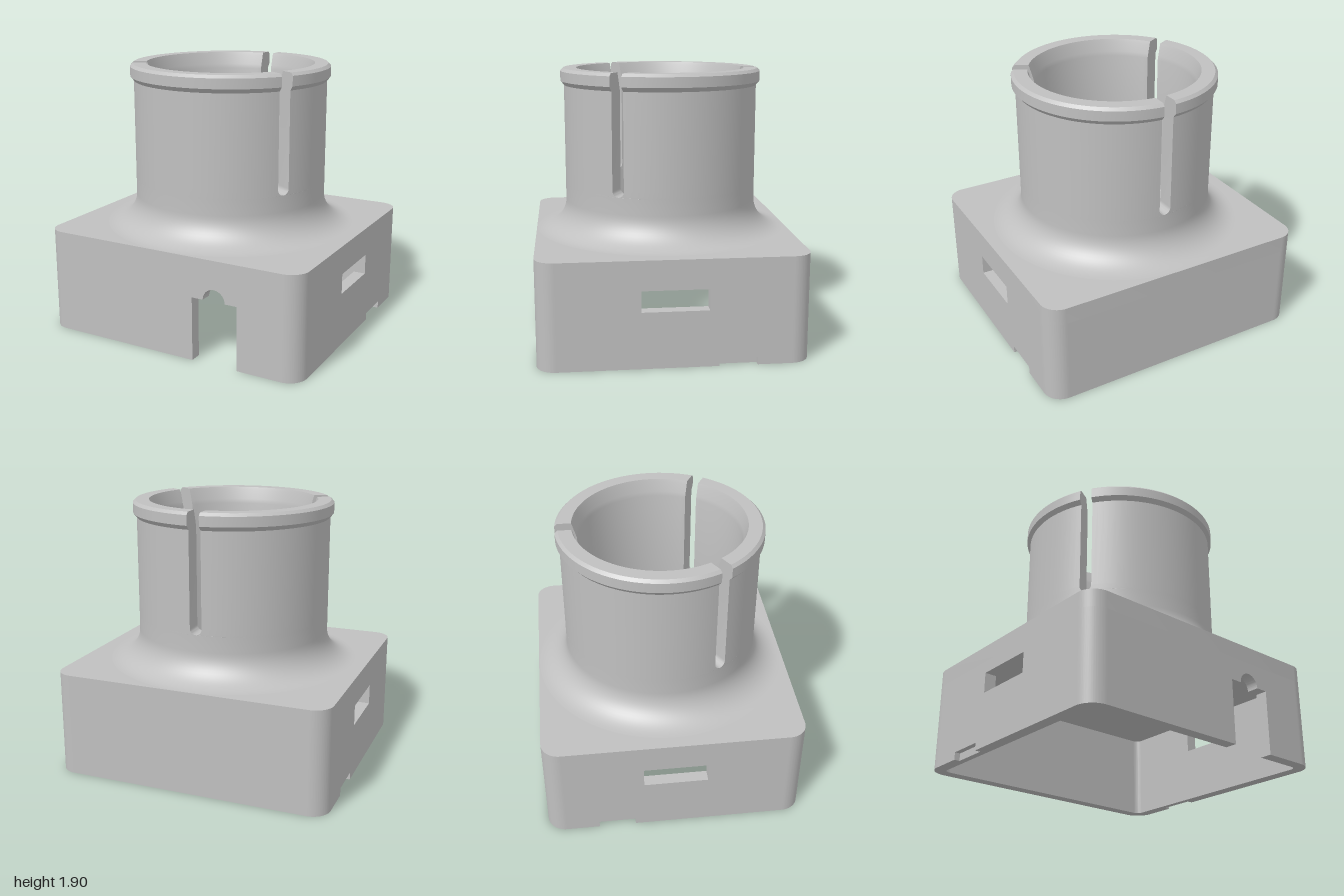
import * as THREE from 'three';
import { toCreasedNormals } from 'three/addons/utils/BufferGeometryUtils.js';

const W = 1, D = 0.915;              // half width and half depth of the base
const CEILING = 0.62, TOP = 0.74;    // underside and top of the base plate
const WALL = 0.085, CORNER = 0.13;
const SLOT_R = 0.043, SLOT_Y = 1.113; // half width and end centre of the collar slots
const NECK_Y = SLOT_Y - SLOT_R;
const BORE = 0.57, NECK = 0.695;

const grey = new THREE.MeshStandardMaterial({ color: 0xc0c0c0 });
grey.name = 'grey plastic';

export function createModel() {
  const model = new THREE.Group();
  model.name = 'socketHousing';

  const add = (name, geometry, parent = model) => {
    const mesh = new THREE.Mesh(toCreasedNormals(geometry, 0.5), grey);
    mesh.name = name;
    parent.add(mesh);
    return mesh;
  };
  const extrude = (shape, depth) =>
    new THREE.ExtrudeGeometry(shape, { depth, bevelEnabled: false, curveSegments: 24 });
  const polygon = (pts) => new THREE.Shape(pts.map(([x, y]) => new THREE.Vector2(x, y)));

  // Base plate with rounded corners and a round opening
  const x = W - CORNER, z = D - CORNER;
  const plate = new THREE.Shape();
  plate.absarc(x, z, CORNER, 0, Math.PI / 2);
  plate.absarc(-x, z, CORNER, Math.PI / 2, Math.PI);
  plate.absarc(-x, -z, CORNER, Math.PI, Math.PI * 1.5);
  plate.absarc(x, -z, CORNER, Math.PI * 1.5, Math.PI * 2);
  const opening = new THREE.Path();
  opening.absarc(0, 0, 0.42, 0, Math.PI * 2, true);
  opening.curves[0].getPoints(24);
  plate.holes.push(opening);
  const plateGeometry = new THREE.ExtrudeGeometry(plate, {
    depth: TOP - CEILING, bevelEnabled: false, curveSegments: 32,
  });
  add('basePlate', plateGeometry.rotateX(-Math.PI / 2).translate(0, CEILING, 0));

  // Rounded corner posts
  const post = new THREE.Shape();
  post.absarc(0, 0, CORNER, 0, Math.PI / 2);
  post.absarc(0, 0, CORNER - WALL, Math.PI / 2, 0, true);
  [[x, -z], [-x, -z], [-x, z], [x, z]].forEach(([px, pz], i) => {
    const corner = add('cornerPost', extrude(post, CEILING).rotateX(-Math.PI / 2));
    corner.position.set(px, 0, pz);
    corner.rotation.y = i * Math.PI / 2;
  });

  // Front wall with an arched cable notch
  const front = new THREE.Shape();
  front.moveTo(-x, 0);
  front.lineTo(0.21, 0);
  front.lineTo(0.21, 0.455);
  front.lineTo(0.295, 0.455);
  front.absarc(0.378, 0.455, 0.083, Math.PI, 0, true);
  front.lineTo(0.548, 0.455);
  front.lineTo(0.548, 0);
  front.lineTo(x, 0);
  front.lineTo(x, CEILING);
  front.lineTo(-x, CEILING);
  add('frontWall', extrude(front, WALL).translate(0, 0, D - WALL));

  // Plain back wall
  add('backWall', new THREE.BoxGeometry(2 * x, CEILING, WALL)
    .translate(0, CEILING / 2, -D + WALL / 2));

  // Side walls: window through both layers, shallow recess in the outer layer
  const RECESS = 0.04;
  for (const side of [1, -1]) {
    const wall = new THREE.Group();
    wall.name = side > 0 ? 'leftWall' : 'rightWall';
    wall.rotation.y = side * Math.PI / 2;
    model.add(wall);
    const [a, b] = side > 0 ? [0.29, 0.55] : [-0.55, -0.29];
    const inner = polygon([[-z, 0], [z, 0], [z, CEILING], [-z, CEILING]]);
    const outer = polygon([[-z, 0], [a, 0], [a, 0.053], [b, 0.053], [b, 0],
      [z, 0], [z, CEILING], [-z, CEILING]]);
    for (const layer of [inner, outer]) {
      layer.holes.push(polygon([[-0.225, 0.39], [-0.225, 0.535], [0.225, 0.535], [0.225, 0.39]]));
    }
    add('innerLayer', extrude(inner, WALL - RECESS).translate(0, 0, W - WALL), wall);
    add('outerLayer', extrude(outer, RECESS).translate(0, 0, W - RECESS), wall);
  }

  // Neck: flared foot outside, straight bore inside
  const profile = [];
  const fillet = 0.213;
  for (let i = 0; i <= 14; i++) {
    const t = (i / 14) * Math.PI / 2;
    profile.push(new THREE.Vector2(NECK + fillet * (1 - Math.sin(t)), TOP + fillet * (1 - Math.cos(t))));
  }
  profile.push(new THREE.Vector2(NECK, NECK_Y));
  add('neckOutside', new THREE.LatheGeometry(profile, 96));
  add('neckBore', new THREE.LatheGeometry(
    [new THREE.Vector2(BORE, NECK_Y), new THREE.Vector2(BORE, TOP)], 96));

  // Collar: three spring fingers, rows are [y, outer radius, inner radius, slot half width]
  const rows = [];
  for (let i = 0; i <= 8; i++) {
    const t = (i / 8) * Math.PI / 2;
    rows.push([SLOT_Y - SLOT_R * Math.cos(t), NECK, BORE, SLOT_R * Math.sin(t)]);
  }
  rows.push([1.785, NECK, BORE, SLOT_R], [1.815, 0.72, 0.578, SLOT_R],
    [1.885, 0.72, 0.598, SLOT_R], [1.905, 0.7, 0.605, SLOT_R]);
  const finger = fingerGeometry(rows, 32);
  for (let i = 0; i < 3; i++) {
    add('collarFinger', finger).rotation.y = i * Math.PI * 2 / 3;
  }
  return model;
}

// Lofts one third of a ring whose ends are parallel to the slot centre planes
function fingerGeometry(rows, segments) {
  const positions = [], index = [];
  const loop = 2 * (segments + 1);
  for (const [y, outer, inner, gap] of rows) {
    for (let j = 0; j < loop; j++) {
      const isOuter = j <= segments;
      const r = isOuter ? outer : inner;
      const t = (isOuter ? j : loop - 1 - j) / segments;
      const angle = (2 * t - 1) * (Math.PI / 3 - Math.asin(gap / r));
      positions.push(r * Math.sin(angle), y, r * Math.cos(angle));
    }
  }
  for (let k = 0; k < rows.length - 1; k++) {
    for (let j = 0; j < loop; j++) {
      const a = k * loop + j, b = k * loop + (j + 1) % loop;
      index.push(a, b, b + loop, a, b + loop, a + loop);
    }
  }
  const top = (rows.length - 1) * loop;
  for (let j = 0; j < segments; j++) {
    const a = top + j, b = a + 1, d = top + loop - 1 - j, c = d - 1;
    index.push(a, b, c, a, c, d);
  }
  const geometry = new THREE.BufferGeometry();
  geometry.setAttribute('position', new THREE.Float32BufferAttribute(positions, 3));
  geometry.setIndex(index);
  return geometry;
}
